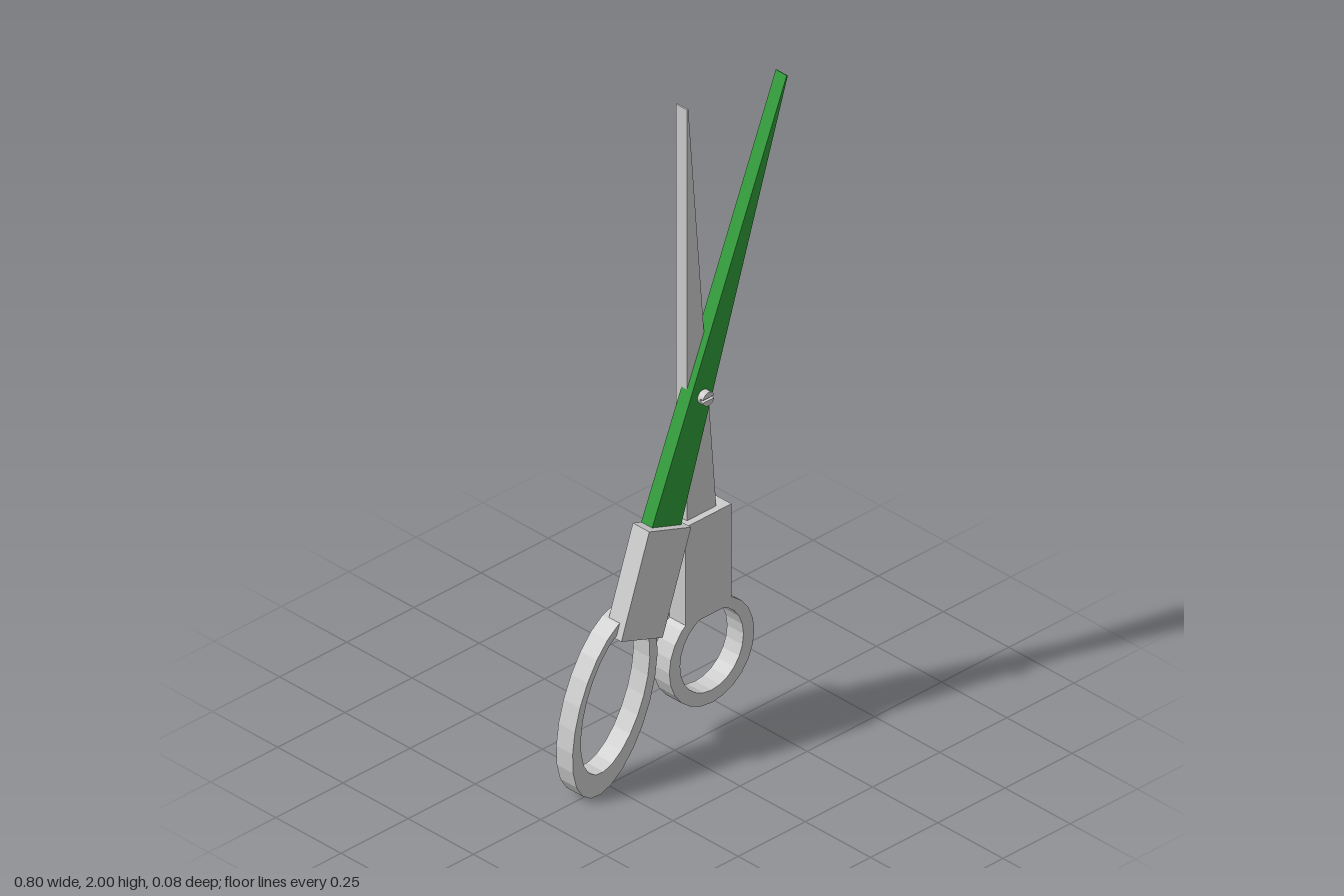
import * as THREE from 'three';

const grey = new THREE.MeshStandardMaterial({ color: 0xcccccc, flatShading: true });
const green = new THREE.MeshStandardMaterial({ color: 0x2e9a37, flatShading: true });

// Extrude a flat outline from z0 to z1
function plate(name, shape, z0, z1, material = grey) {
  const geometry = new THREE.ExtrudeGeometry(shape, {
    depth: z1 - z0, bevelEnabled: false, curveSegments: 12,
  });
  geometry.translate(0, 0, z0);
  const mesh = new THREE.Mesh(geometry, material);
  mesh.name = name;
  return mesh;
}

const polygon = (points) => new THREE.Shape(points.map(([x, y]) => new THREE.Vector2(x, y)));

// Ellipse given as [centre x, centre y, x radius, y radius]
function ellipse(target, [x, y, rx, ry], tilt) {
  return target.absellipse(x, y, rx, ry, 0, Math.PI * 2, false, tilt);
}

// Finger ring: outer ellipse with an off-centre hole
function ring(name, outer, inner, tilt, z0, z1) {
  const shape = ellipse(new THREE.Shape(), outer, tilt);
  shape.holes.push(ellipse(new THREE.Path(), inner, tilt));
  return plate(name, shape, z0, z1);
}

export function createModel() {
  const model = new THREE.Group();
  model.name = 'scissors';
  const T = 0.042; // half of the total thickness
  const H = 0.021;

  // Upright half, at the back
  const uprightHalf = new THREE.Group();
  uprightHalf.name = 'uprightHalf';
  uprightHalf.add(
    plate('uprightBlade', polygon([[0.045, 0.69], [0.155, 0.69], [0.05, 2], [0.045, 2]]), -T, 0),
    plate('uprightGrip', polygon([[0.02, 0.39], [0.19, 0.39], [0.19, 0.705], [0.02, 0.705]]), -T, H),
    ring('smallFingerRing', [0.117, 0.27, 0.158, 0.16], [0.117, 0.275, 0.118, 0.125], 0, -T, H),
  );

  // Slanted half, at the front
  const slantedHalf = new THREE.Group();
  slantedHalf.name = 'slantedHalf';
  const tilt = THREE.MathUtils.degToRad(-19.3);
  slantedHalf.add(
    plate('slantedBlade', polygon([[-0.108, 0.75], [0, 0.71], [0.4, 1.963], [0.396, 1.965]]), -H, H, green),
    plate('slantedGrip', polygon([[-0.24, 0.467], [-0.086, 0.413], [0.02, 0.715], [-0.136, 0.768]]), -H, T),
    ring('largeFingerRing', [-0.243, 0.262, 0.138, 0.273], [-0.242, 0.28, 0.112, 0.222], tilt, -T, H),
  );

  // Pivot screw: a disc carrying two half caps with a slot between them
  const screw = new THREE.Group();
  screw.name = 'pivotScrew';
  const r = 0.021;
  const slot = 0.2;
  screw.add(plate('screwBase', new THREE.Shape().absarc(0, 0, r, 0, Math.PI * 2), 0, 0.031));
  for (const start of [0, Math.PI]) {
    const half = new THREE.Shape().absarc(0, 0, r, start + slot, start + Math.PI - slot);
    screw.add(plate('screwCap', half, 0.031, T));
  }
  screw.position.set(0.085, 1.09, 0);

  model.add(uprightHalf, slantedHalf, screw);
  return model;
}
